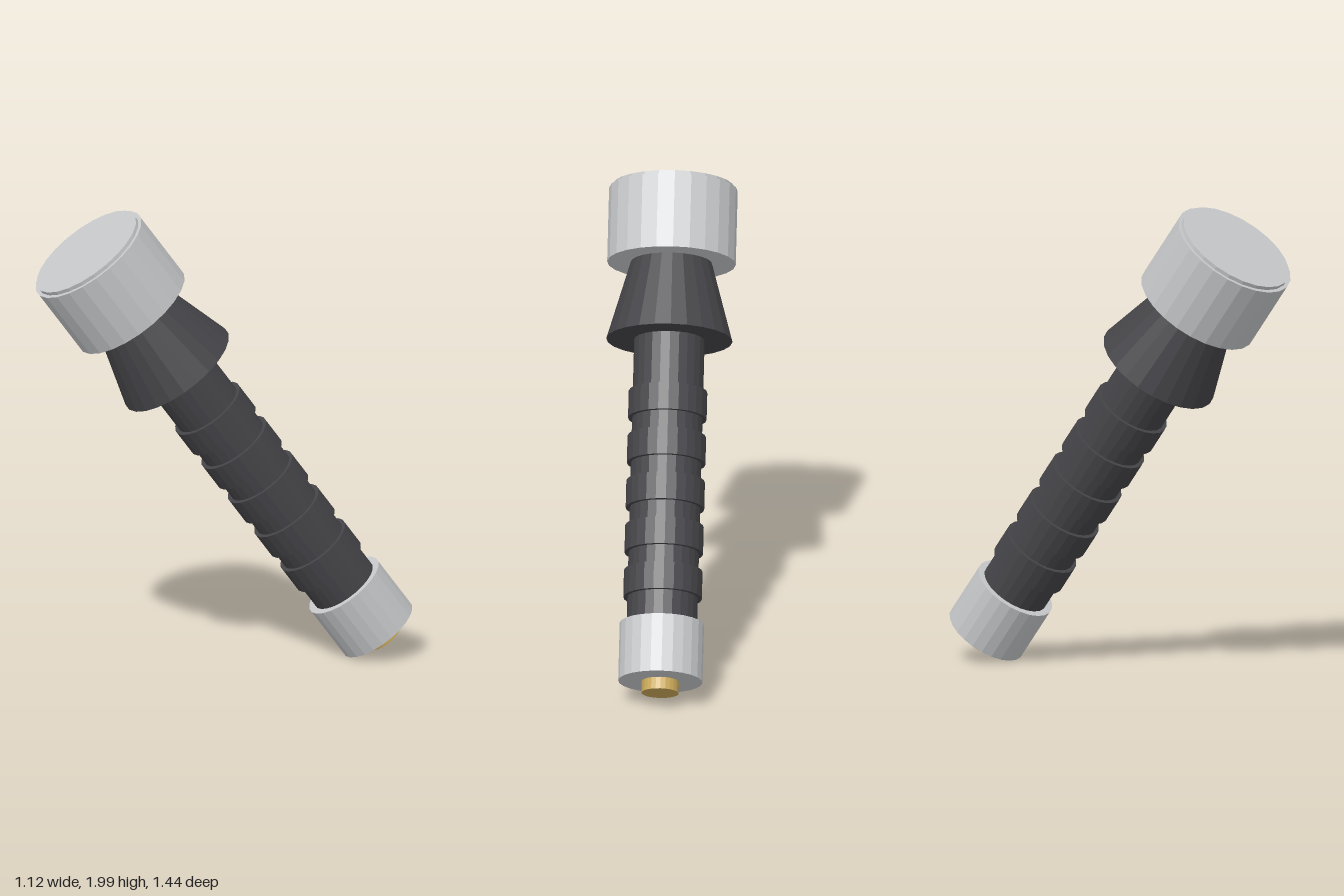
import * as THREE from 'three';

export function createModel() {
  const mat = (name, color) => {
    const m = new THREE.MeshStandardMaterial({ color, flatShading: true });
    m.name = name;
    return m;
  };
  const silver = mat('silver metal', 0xc6c8ca);
  const dark = mat('dark grip', 0x454448);
  const brass = mat('brass', 0xc8a85a);

  // The torch is built upright from its tail (y = 0), then leaned over
  const torch = new THREE.Group();
  torch.name = 'torch';
  const SIDES = 24;

  // Closed cylinder or cone between two heights
  const section = (name, material, y0, y1, r0, r1 = r0) => {
    const mesh = new THREE.Mesh(new THREE.CylinderGeometry(r1, r0, y1 - y0, SIDES), material);
    mesh.position.y = (y0 + y1) / 2;
    mesh.name = name;
    torch.add(mesh);
  };

  // Tail
  section('tailButton', brass, -0.05, 0.02, 0.078);
  section('tailCap', silver, 0, 0.25, 0.177);

  // Handle with raised grip rings
  section('handle', dark, 0.24, 1.5, 0.148);
  for (let i = 0; i < 5; i++) {
    const y = 0.363 + i * 0.195;
    section('gripRing' + (i + 1), dark, y, y + 0.117, 0.165);
  }

  // Flared collar, widest towards the handle
  section('collar', dark, 1.485, 1.83, 0.265, 0.168);

  // Head and raised lens
  section('head', silver, 1.82, 2.14, 0.27);
  section('lens', silver, 2.13, 2.156, 0.254);

  // Lean along the torch's axis
  const axis = new THREE.Vector3(-0.325, 0.807, 0.4935).normalize();
  torch.quaternion.setFromUnitVectors(new THREE.Vector3(0, 1, 0), axis);
  torch.position.set(0.393, 0.105, -0.571);

  const model = new THREE.Group();
  model.name = 'model';
  model.add(torch);
  return model;
}
